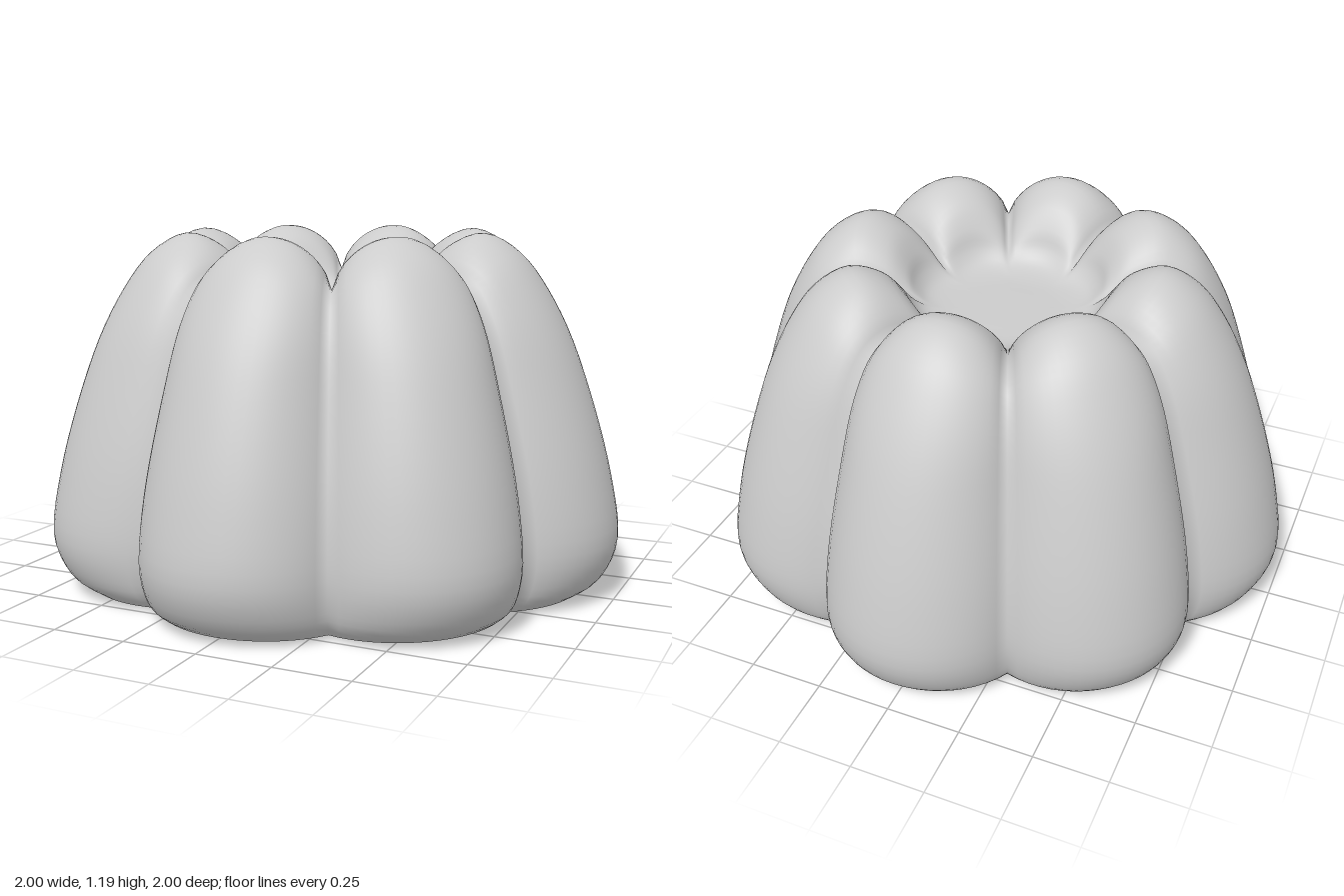
import * as THREE from 'three';

const LOBES = 8, AROUND = 160, STEPS = 4;

// Profiles as [radius, height], from the base edge over the rim to the dish centre
const RIDGE = [[0.88, 0.01], [0.955, 0.07], [1, 0.2], [0.97, 0.4], [0.91, 0.62], [0.83, 0.84], [0.74, 1.01],
  [0.645, 1.13], [0.53, 1.19], [0.42, 1.15], [0.355, 1.07], [0.325, 1.0], [0.28, 0.955], [0.2, 0.94], [0.1, 0.94], [0, 0.94]];
const VALLEY = [[0.78, 0.01], [0.825, 0.07], [0.845, 0.2], [0.82, 0.4], [0.765, 0.62], [0.695, 0.84], [0.63, 0.96],
  [0.57, 1.015], [0.49, 1.025], [0.4, 1.005], [0.34, 0.98], [0.29, 0.96], [0.25, 0.948], [0.2, 0.94], [0.1, 0.94], [0, 0.94]];

const samples = (pts) =>
  new THREE.SplineCurve(pts.map((p) => new THREE.Vector2(...p))).getPoints((pts.length - 1) * STEPS);

// 1 on a lobe's ridge, 0 in the groove, following a circular scallop
function scallop(phi) {
  const pitch = (Math.PI * 2) / LOBES;
  const t = phi - Math.round(phi / pitch) * pitch;
  const radius = (a) => 0.66 * Math.cos(a) + Math.sqrt(0.1156 - 0.4356 * Math.sin(a) ** 2);
  const low = radius(pitch / 2);
  return Math.max(0, (radius(t) - low) / (1 - low));
}

function makeGeometry(positions, index) {
  const g = new THREE.BufferGeometry();
  g.setAttribute('position', new THREE.Float32BufferAttribute(positions, 3));
  g.setIndex(index);
  g.computeVertexNormals();
  return g;
}

export function createModel() {
  const group = new THREE.Group();
  group.name = 'mouldedJelly';
  const material = new THREE.MeshStandardMaterial({ color: 0xcccccc });
  const ridge = samples(RIDGE), valley = samples(VALLEY);
  const rows = ridge.length;

  // Lobed body with dished top
  const positions = [], index = [];
  for (let i = 0; i < rows; i++) {
    // lobes get rounder towards the top
    const power = 1 - 0.3 * THREE.MathUtils.smoothstep(ridge[i].y, 0.7, 1.1);
    for (let j = 0; j < AROUND; j++) {
      const phi = (j / AROUND) * Math.PI * 2;
      const p = valley[i].clone().lerp(ridge[i], scallop(phi) ** power);
      positions.push(p.x * Math.sin(phi), p.y, p.x * Math.cos(phi));
      if (i === rows - 1) continue;
      const k = (j + 1) % AROUND;
      const a = i * AROUND + j, b = i * AROUND + k, c = a + AROUND, d = b + AROUND;
      index.push(a, b, c);
      if (i < rows - 2) index.push(b, d, c);
    }
  }
  const body = new THREE.Mesh(makeGeometry(positions, index), material);
  body.name = 'lobedBody';

  // Underside, with its own vertices so the bottom edge stays crisp
  const rim = positions.slice(0, AROUND * 3), fan = [];
  for (let j = 0; j < AROUND; j++) fan.push(AROUND, (j + 1) % AROUND, j);
  const base = new THREE.Mesh(makeGeometry([...rim, 0, 0, 0], fan), material);
  base.name = 'base';

  group.add(body, base);
  return group;
}
